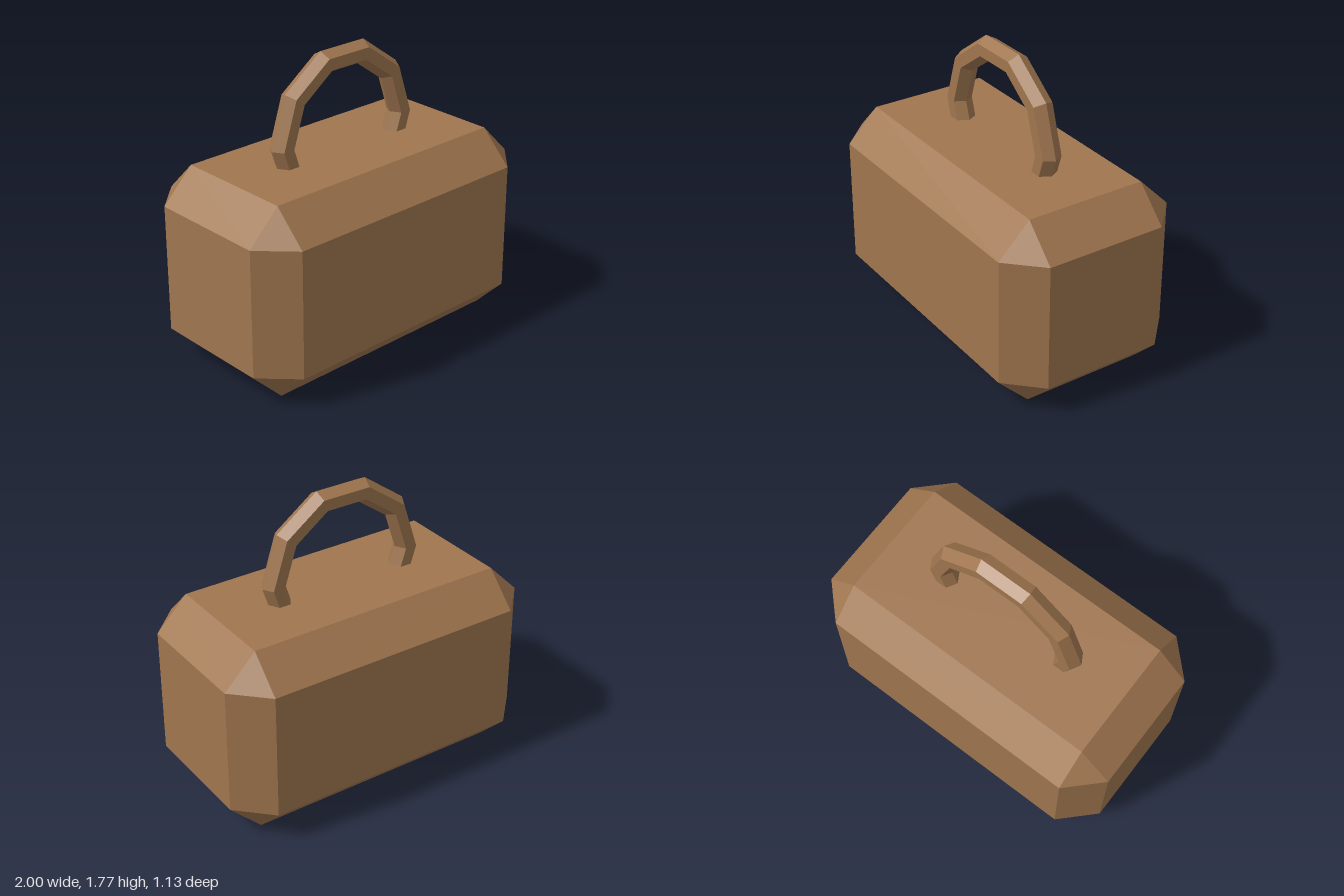
import * as THREE from 'three';
import { ConvexGeometry } from 'three/addons/geometries/ConvexGeometry.js';

const SIZE = new THREE.Vector3(2, 1.165, 1.13);
const CHAMFER = 0.195;

// Box with every edge cut at 45 degrees: three points per corner
function chamferedBox(size, cut) {
  const half = size.clone().multiplyScalar(0.5);
  const points = [];
  for (const sx of [-1, 1]) for (const sy of [-1, 1]) for (const sz of [-1, 1]) {
    for (const axis of ['x', 'y', 'z']) {
      const p = half.clone().subScalar(cut);
      p[axis] = half[axis];
      points.push(p.multiply(new THREE.Vector3(sx, sy, sz)));
    }
  }
  return new ConvexGeometry(points);
}

export function createModel() {
  const group = new THREE.Group();
  group.name = 'handledBlock';
  const brown = new THREE.MeshStandardMaterial({ color: 0xa0764f, flatShading: true });

  // Heavy chamfered block
  const body = new THREE.Mesh(chamferedBox(SIZE, CHAMFER), brown);
  body.name = 'body';
  body.position.y = SIZE.y / 2;
  group.add(body);

  // Hexagonal ring handle, seven steps of a decagon, its ends sunk in the block
  const step = Math.PI / 5;
  const ring = new THREE.TorusGeometry(0.4525, 0.0725, 6, 7, 7 * step);
  ring.rotateZ(-step);
  const handle = new THREE.Mesh(ring, brown);
  handle.name = 'handle';
  handle.position.y = 1.275;
  group.add(handle);

  return group;
}
